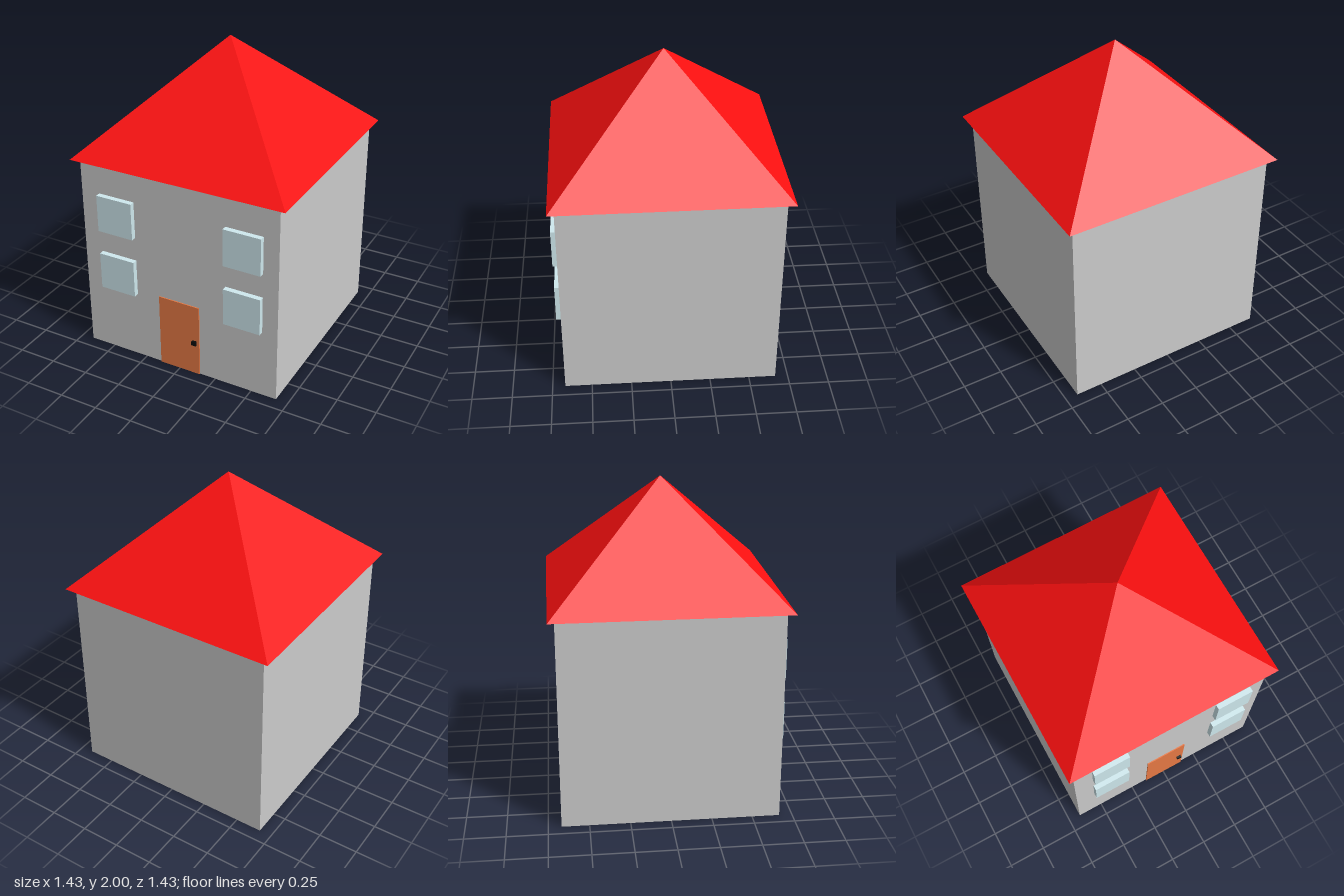
import * as THREE from 'three';

export function createModel() {
  const house = new THREE.Group();
  house.name = 'house';

  const paint = (color) => new THREE.MeshStandardMaterial({ color, flatShading: true });
  const wallGrey = paint(0xcccccc);
  const roofRed = paint(0xff1010);
  const glass = paint(0xcfe9ee);
  const wood = paint(0xe87a45);
  const black = paint(0x0a0a0a);

  function box(name, size, position, material) {
    const mesh = new THREE.Mesh(new THREE.BoxGeometry(...size), material);
    mesh.name = name;
    mesh.position.set(...position);
    house.add(mesh);
  }

  const wallHeight = 1.317;
  const wallWidth = 1.34;
  const front = wallWidth / 2;

  // Walls
  box('walls', [wallWidth, wallHeight, wallWidth], [0, wallHeight / 2, 0], wallGrey);

  // Pyramid roof, turned a hair past square
  const roofHeight = 2 - wallHeight;
  const roof = new THREE.Mesh(new THREE.ConeGeometry(1.01, roofHeight, 4), roofRed);
  roof.name = 'roof';
  roof.position.y = wallHeight + roofHeight / 2;
  roof.rotation.y = 0.79;
  house.add(roof);

  // Windows: two storeys, one on each side of the door
  for (const [storey, y] of [['lower', 0.581], ['upper', 0.986]]) {
    for (const [side, x] of [['Right', -0.421], ['Left', 0.447]]) {
      box(`${storey}${side}Window`, [0.245, 0.245, 0.06], [x, y, front + 0.004], glass);
    }
  }

  // Door and its handle
  box('door', [0.281, 0.493, 0.03], [0.002, 0.2465, front - 0.008], wood);
  box('doorHandle', [0.03, 0.028, 0.03], [0.11, 0.231, front + 0.008], black);

  return house;
}
